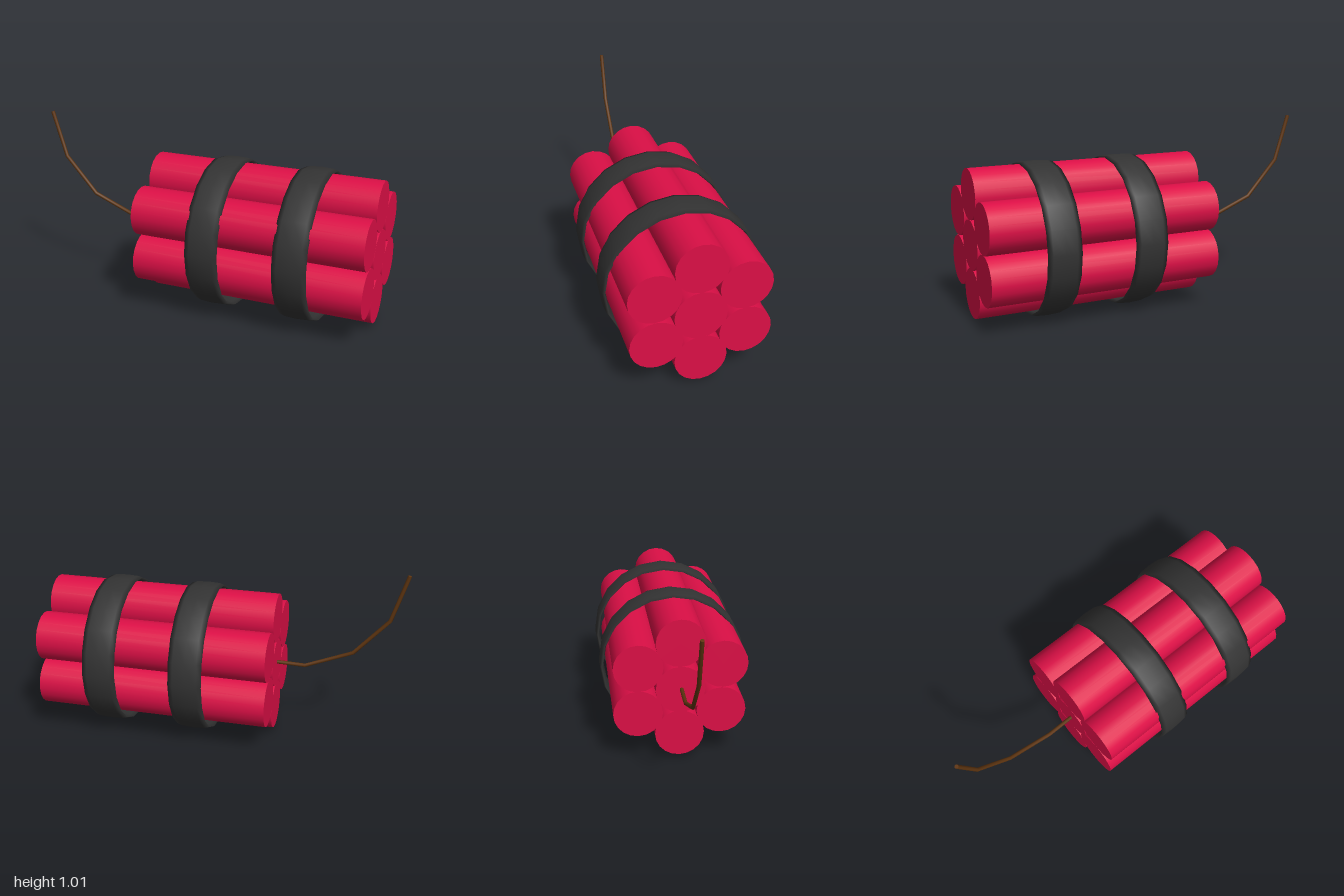
import * as THREE from 'three';

// Straight-segment path whose joints fall exactly on the given points
class Polyline extends THREE.Curve {
  constructor(points) {
    super();
    this.points = points;
  }
  getPoint(t, target = new THREE.Vector3()) {
    const last = this.points.length - 1;
    const i = Math.min(Math.floor(t * last), last - 1);
    return target.lerpVectors(this.points[i], this.points[i + 1], t * last - i);
  }
  getUtoTmapping(u) {
    return u;
  }
}

export function createModel() {
  const group = new THREE.Group();
  const red = new THREE.MeshStandardMaterial({ color: 0xdc0f46 });
  const black = new THREE.MeshStandardMaterial({ color: 0x333333 });
  const brown = new THREE.MeshStandardMaterial({ color: 0x5f3510, side: THREE.DoubleSide });

  const add = (name, geometry, material, x, y, z) => {
    const mesh = new THREE.Mesh(geometry, material);
    mesh.name = name;
    mesh.position.set(x, y, z);
    group.add(mesh);
    return mesh;
  };

  // Seven sticks lying along x: one in the middle, six around it [y, z]
  const stick = new THREE.CylinderGeometry(0.137, 0.137, 1.295, 20).rotateZ(Math.PI / 2);
  const centres = [
    [0.43, 0], [0.702, 0.002], [0.165, -0.005],
    [0.57, 0.235], [0.295, 0.226], [0.565, -0.23], [0.295, -0.234],
  ];
  centres.forEach(([y, z], i) => add(`stick${i + 1}`, stick, red, 0.3525, y, z));

  // Two wide, thin straps around the bundle
  const strap = new THREE.TorusGeometry(0.411, 0.0125, 8, 20).rotateY(Math.PI / 2).scale(7.5, 1, 1);
  [0.135, 0.625].forEach((x, i) => add(`strap${i + 1}`, strap, black, x, 0.43, 0));

  // Bent fuse rising from the end of the middle stick
  const path = [[-0.18, 0.435], [-0.455, 0.427], [-0.72, 0.535], [-0.908, 0.745], [-0.99, 1.01]]
    .map(([x, y]) => new THREE.Vector3(x, y, 0));
  add('fuse', new THREE.TubeGeometry(new Polyline(path), path.length - 1, 0.011, 8), brown, 0, 0, 0.006);

  // Cap closing the free end of the fuse
  const cap = add('fuseTip', new THREE.CircleGeometry(0.011, 8), brown, -0.99, 1.01, 0.006);
  cap.quaternion.setFromUnitVectors(
    new THREE.Vector3(0, 0, 1),
    path[4].clone().sub(path[3]).normalize(),
  );

  return group;
}
